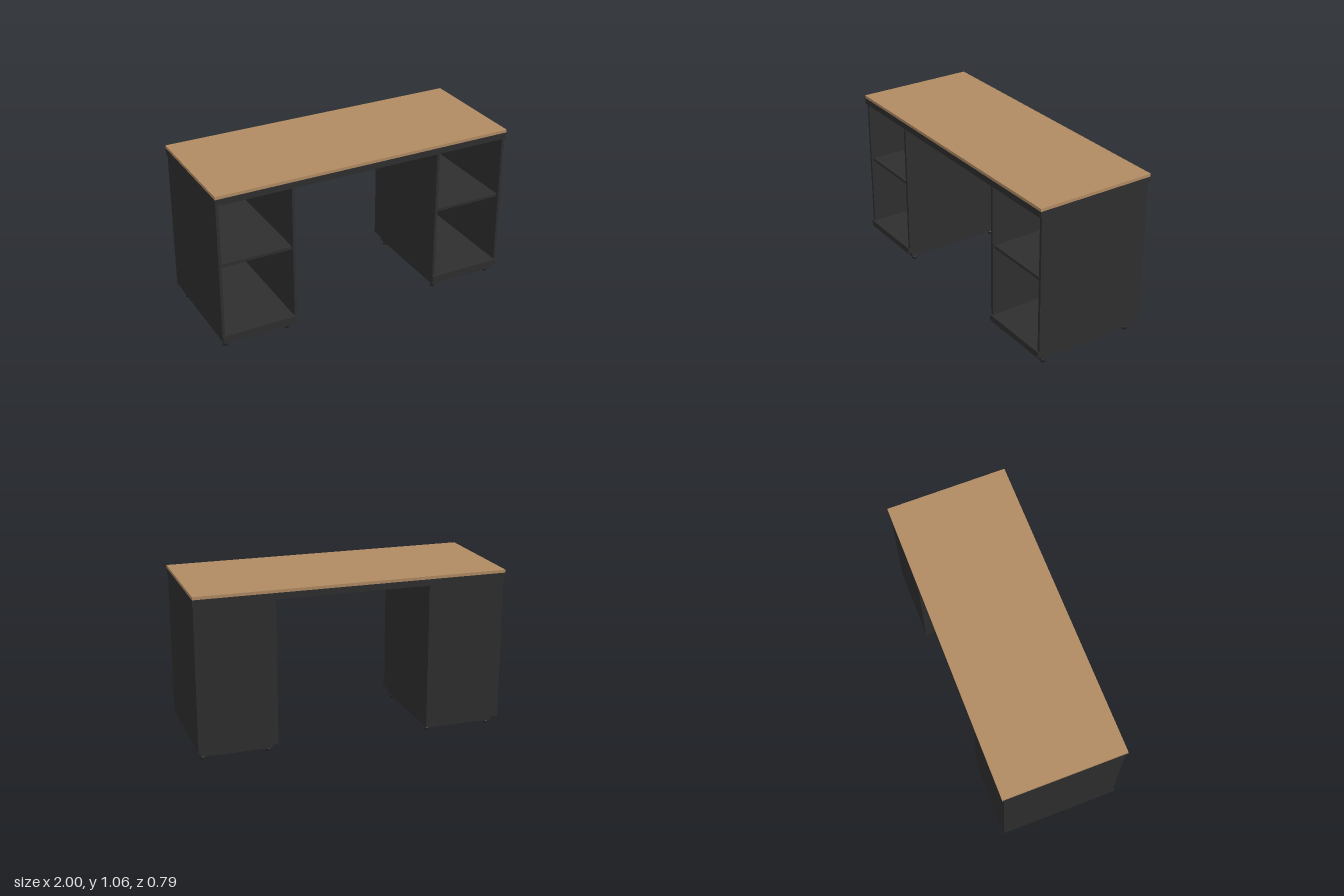
import * as THREE from 'three';

const material = (name, color) => {
  const m = new THREE.MeshStandardMaterial({ color });
  m.name = name;
  return m;
};

export function createModel() {
  const charcoal = material('charcoal', 0x2e2e2e);
  const wood = material('wood', 0xb08a63);
  const metal = material('metal', 0xa08468);
  const rubber = material('rubber', 0x222222);

  // box given by its limits on each axis
  const box = (parent, name, mat, [x0, x1], [y0, y1], [z0, z1]) => {
    const mesh = new THREE.Mesh(new THREE.BoxGeometry(x1 - x0, y1 - y0, z1 - z0), mat);
    mesh.position.set((x0 + x1) / 2, (y0 + y1) / 2, (z0 + z1) / 2);
    mesh.name = name;
    parent.add(mesh);
  };
  const disc = (parent, name, mat, r, [y0, y1], x, z) => {
    const mesh = new THREE.Mesh(new THREE.CylinderGeometry(r, r, y1 - y0, 20), mat);
    mesh.position.set(x, (y0 + y1) / 2, z);
    mesh.name = name;
    parent.add(mesh);
  };

  const desk = new THREE.Group();
  desk.name = 'desk';

  // worktop on its dark support slab
  box(desk, 'worktop', wood, [-1, 1], [1.041, 1.06], [-0.394, 0.395]);
  box(desk, 'topSupport', charcoal, [-1, 1], [1, 1.041], [-0.394, 0.395]);

  // two open-fronted pedestals
  const half = 0.251, inner = half - 0.018;
  for (const side of [-1, 1]) {
    const p = new THREE.Group();
    p.name = side < 0 ? 'rightPedestal' : 'leftPedestal';
    p.position.x = side * 0.744;
    desk.add(p);

    box(p, 'base', charcoal, [-half, half], [0.07, 0.11], [-0.36, 0.395]);
    box(p, 'plinth', charcoal, [-0.23, 0.23], [0.027, 0.07], [-0.332, 0.356]);
    box(p, 'backPanel', charcoal, [-half, half], [0.07, 1], [-0.382, -0.36]);
    box(p, 'sidePanel', charcoal, [-half, -inner], [0.11, 1], [-0.36, 0.384]);
    box(p, 'sidePanel', charcoal, [inner, half], [0.11, 1], [-0.36, 0.384]);
    box(p, 'shelf', charcoal, [-inner, inner], [0.578, 0.596], [-0.36, 0.37]);

    // levelling feet
    for (const x of [-0.209, 0.209]) {
      for (const z of [-0.3, 0.324]) {
        disc(p, 'footStem', metal, 0.006, [0.01, 0.028], x, z);
        disc(p, 'footPad', rubber, 0.016, [0, 0.012], x, z);
      }
    }
  }
  return desk;
}
